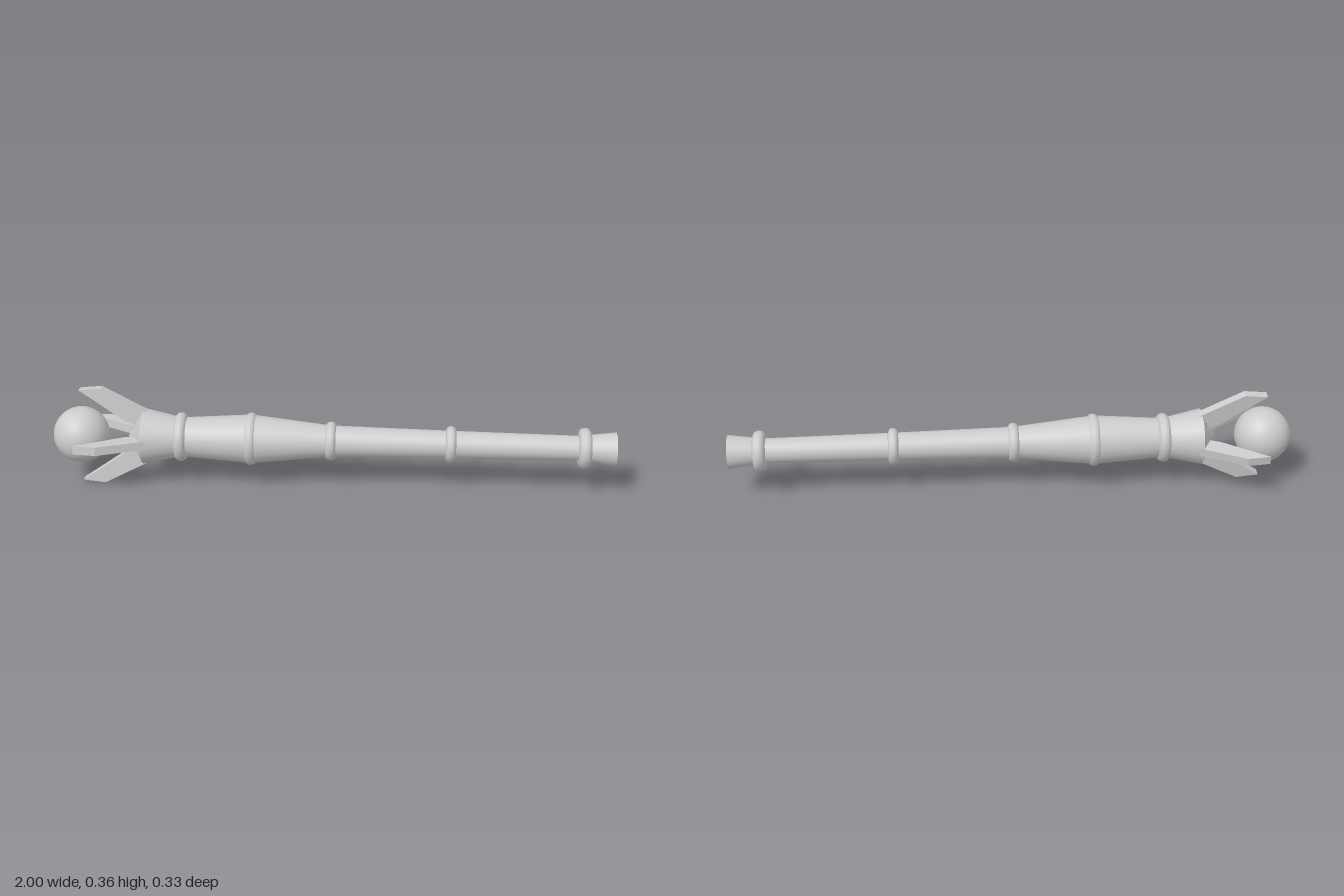
import * as THREE from 'three';

export function createModel() {
  const model = new THREE.Group();
  const mat = new THREE.MeshStandardMaterial({ color: 0xcccccc });
  // everything is arranged around the x axis, then lifted
  const staff = new THREE.Group();
  staff.name = 'sceptre';
  staff.position.set(0, 0.186, 0.002);
  model.add(staff);

  const add = (name, geo, parent = staff) => {
    const mesh = new THREE.Mesh(geo, mat);
    mesh.name = name;
    parent.add(mesh);
    return mesh;
  };

  // tapered shaft sections: [name, x0, r0, x1, r1]
  const sections = [
    ['headFlare', -0.675, 0.1, -0.54, 0.07],
    ['upperGrip', -0.54, 0.07, -0.29, 0.087],
    ['lowerGrip', -0.29, 0.087, -0.005, 0.056],
    ['upperShaft', -0.005, 0.056, 0.42, 0.049],
    ['lowerShaft', 0.42, 0.049, 0.89, 0.044],
    ['pommel', 0.89, 0.046, 1, 0.06],
  ];
  for (const [name, x0, r0, x1, r1] of sections) {
    const capped = name === 'pommel';
    const geo = new THREE.CylinderGeometry(r1, r0, x1 - x0, 24, 1, !capped);
    geo.rotateZ(-Math.PI / 2).translate((x0 + x1) / 2, 0, 0);
    add(name, geo);
  }

  // pointed cap closing the head
  const cap = new THREE.ConeGeometry(0.1, 0.055, 24);
  cap.rotateZ(Math.PI / 2).translate(-0.7025, 0, 0);
  add('headCap', cap);

  // rounded collars: [x, outer radius, tube radius]
  const rings = [
    [-0.54, 0.088, 0.022], [-0.29, 0.094, 0.022], [-0.005, 0.07, 0.02],
    [0.42, 0.066, 0.019], [0.89, 0.073, 0.023],
  ];
  for (const [x, outer, tube] of rings) {
    const geo = new THREE.TorusGeometry(outer - tube, tube, 12, 32);
    geo.rotateY(Math.PI / 2).translate(x, 0, 0);
    add('collar', geo);
  }

  // orb
  add('orb', new THREE.SphereGeometry(0.1, 32, 20).translate(-0.9, 0, 0));

  // four slanted prongs around the orb
  const prongTips = [0.18, 0.164, 0.18, 0.164];
  prongTips.forEach((tip, i) => {
    const shape = new THREE.Shape([
      new THREE.Vector2(-0.9, tip - 0.008),
      new THREE.Vector2(-0.74, 0.06),
      new THREE.Vector2(-0.67, 0.035),
      new THREE.Vector2(-0.66, 0.096),
      new THREE.Vector2(-0.82, tip),
    ]);
    const geo = new THREE.ExtrudeGeometry(shape, { depth: 0.031, bevelEnabled: false });
    geo.translate(0, 0, -0.0155);
    add('prong', geo).rotation.x = i * Math.PI / 2 - 0.115;
  });
  return model;
}
